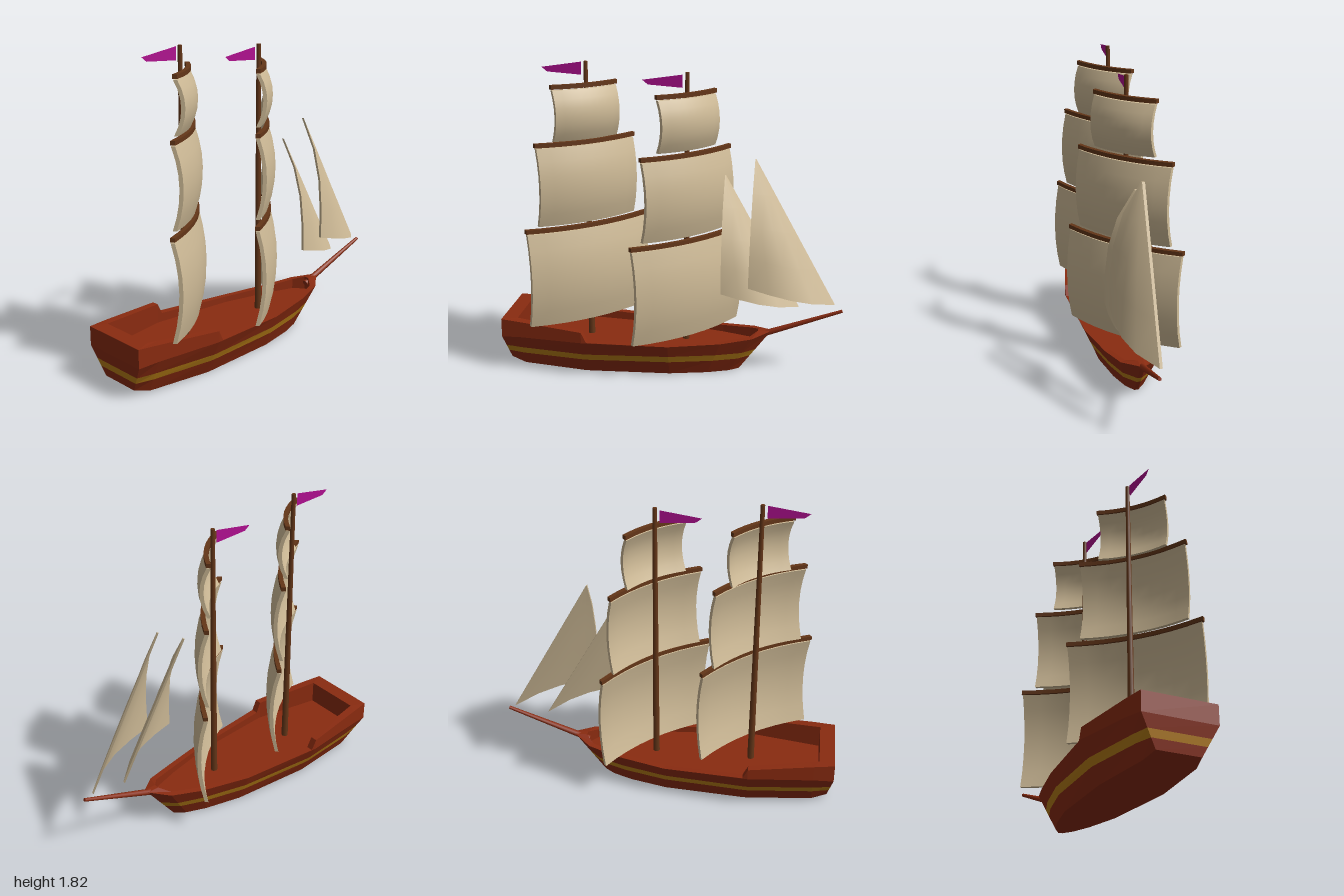
import * as THREE from 'three';

const mat = (name, color, extra = {}) => {
  const m = new THREE.MeshStandardMaterial({ color, ...extra });
  m.name = name;
  return m;
};

// Flat-shaded geometry from a list of four-cornered faces
function quadGeometry(quads) {
  const pos = [];
  for (const [a, b, c, d] of quads) pos.push(...a, ...b, ...c, ...a, ...c, ...d);
  const g = new THREE.BufferGeometry();
  g.setAttribute('position', new THREE.Float32BufferAttribute(pos, 3));
  g.computeVertexNormals();
  return g;
}

// Move every vertex by a rule, then refresh the normals
function warp(g, rule) {
  const p = g.attributes.position, v = new THREE.Vector3();
  for (let i = 0; i < p.count; i++) {
    rule(v.fromBufferAttribute(p, i));
    p.setXYZ(i, v.x, v.y, v.z);
  }
  g.computeVertexNormals();
  return g;
}

export function createModel() {
  const hullRed = mat('hull red', 0x8a2b10);
  const gold = mat('stripe gold', 0xb87e16);
  const wood = mat('mast brown', 0x643618);
  const canvas = mat('sail canvas', 0xd0bc98);
  const purple = mat('pennant purple', 0xb01090, { side: THREE.DoubleSide });

  const model = new THREE.Group();
  model.name = 'sailingShip';
  const CZ = -0.012; // centre line of the ship
  const add = (name, geometry, material, parent = model) => {
    const m = new THREE.Mesh(geometry, material);
    m.name = name;
    parent.add(m);
    return m;
  };

  // Hull stations, stern to bow:
  // rim x, rim y, rim half width, knee y, keel x, keel y, keel half width, inner x, inner half width
  const stations = [
    [-1.0, 0.31, 0.213, 0.2, -0.97, 0.035, 0.125, -0.91, 0.175],
    [-0.88, 0.306, 0.232, 0.21, -0.88, 0.01, 0.145, -0.85, 0.185],
    [-0.5, 0.285, 0.287, 0.22, -0.5, 0, 0.18, -0.5, 0.245],
    [-0.47, 0.222, 0.285, 0.22, -0.47, 0, 0.18, -0.47, 0.243],
    [0, 0.205, 0.235, 0.205, 0, 0, 0.15, 0, 0.2],
    [0.3, 0.212, 0.163, 0.212, 0.22, 0, 0.1, 0.29, 0.13],
    [0.48, 0.23, 0.105, 0.23, 0.34, 0, 0.055, 0.46, 0.075],
    [0.585, 0.25, 0.014, 0.25, 0.4, 0, 0.012, 0.51, 0.015],
  ];
  const ring = (f) => {
    const side = stations.map(f);
    return [...side, ...side.map(([x, y, z]) => [x, y, -z]).reverse()];
  };
  // Outer skin: sloped from keel to knee, upright above it
  const skin = (level) => ring(([rx, ry, rw, ky, kx, kb, kw]) => {
    const y = level === 'keel' ? kb : level === 'rim' ? ry : level === 'knee' ? ky : level;
    const t = Math.min(1, (y - kb) / (ky - kb));
    return [kx + (rx - kx) * t, y, kw + (rw - kw) * t];
  });
  const inner = (deckY) => ring((s) => [s[7], deckY ?? s[1], s[8]]);
  const band = (lo, hi) => lo.map((a, i) => {
    const j = (i + 1) % lo.length;
    return [a, lo[j], hi[j], hi[i]];
  });
  const cap = (r, up) => stations.slice(1).map((_, i) => {
    const n = r.length - 1;
    const q = [r[i], r[i + 1], r[n - i - 1], r[n - i]];
    return up ? q : q.reverse();
  });

  const hull = new THREE.Group();
  hull.name = 'hull';
  hull.position.z = CZ;
  model.add(hull);
  const keel = skin('keel'), low = skin(0.088), high = skin(0.13), knee = skin('knee'), rim = skin('rim');
  const innerRim = inner(), deck = inner(0.17);
  add('lowerHull', quadGeometry([...cap(keel, false), ...band(keel, low)]), hullRed, hull);
  add('hullStripe', quadGeometry(band(low, high)), gold, hull);
  add('upperHull', quadGeometry([...band(high, knee), ...band(knee, rim)]), hullRed, hull);
  add('bulwark', quadGeometry([...band(rim, innerRim), ...band(innerRim, deck)]), hullRed, hull);
  add('deck', quadGeometry(cap(deck, true)), hullRed, hull);

  // Bowsprit
  const from = new THREE.Vector3(0.5, 0.212, 0), to = new THREE.Vector3(0.996, 0.397, 0);
  const dir = to.clone().sub(from);
  const sprit = add('bowsprit', new THREE.CylinderGeometry(0.01, 0.02, dir.length(), 8), hullRed, hull);
  sprit.position.copy(from).add(to).multiplyScalar(0.5);
  sprit.quaternion.setFromUnitVectors(new THREE.Vector3(0, 1, 0), dir.normalize());

  // Square sail or yard: a thin box bowed across its width and, for sails, its height
  const bowed = (w, h, t, belly) => warp(
    new THREE.BoxGeometry(w, h, t, 8, belly ? 6 : 1, 1),
    (v) => {
      const a = (2 * v.x) / w, b = (2 * v.y) / h;
      v.z += 0.16 * w * (1 - a * a) * 0.5 + belly * (1 - b * b);
    },
  );

  // Masts, each with three yards and sails: [yard y, sail bottom y, length]
  const masts = [
    { name: 'main', x: -0.5, sx: -0.51, sz: 0.005, top: 1.82, yaw: 41, flag: 1.78,
      sails: [[0.88, 0.3, 0.79], [1.372, 0.9, 0.64], [1.692, 1.38, 0.42]] },
    { name: 'fore', x: 0.08, sx: 0.075, sz: -0.008, top: 1.77, yaw: 45, flag: 1.72,
      sails: [[0.805, 0.22, 0.79], [1.312, 0.83, 0.64], [1.65, 1.335, 0.42]] },
  ];
  for (const m of masts) {
    const pole = add(m.name + 'Mast', new THREE.CylinderGeometry(0.012, 0.02, m.top - 0.16, 8), wood);
    pole.position.set(m.x, (m.top + 0.16) / 2, CZ);

    const rig = new THREE.Group();
    rig.name = m.name + 'Rig';
    rig.position.set(m.sx, 0, m.sz);
    rig.rotation.y = THREE.MathUtils.degToRad(m.yaw);
    model.add(rig);
    for (const [y, bottom, len] of m.sails) {
      add('yard', bowed(len, 0.024, 0.026, 0), wood, rig).position.y = y;
      const topY = y - 0.018;
      add('squareSail', bowed(len - 0.015, topY - bottom, 0.022, 0.04), canvas, rig)
        .position.y = (topY + bottom) / 2;
    }

    // Pennant streaming aft
    const flag = new THREE.Shape([[-0.027, 0.036], [-0.257, 0.002], [-0.225, -0.024], [-0.027, -0.038]]
      .map(([x, y]) => new THREE.Vector2(x, y)));
    add(m.name + 'Pennant', new THREE.ShapeGeometry(flag), purple).position.set(m.x, m.flag, CZ);
  }

  // Triangular headsails: apex, clew and tack as [x, y]; the clew swings out to the left
  const headsail = (apex, clew, tack) => warp(
    new THREE.BoxGeometry(1, 1, 1, 4, 4, 1),
    (p) => {
      const u = p.x + 0.5, v = Math.max(0.5 - p.y, 0.01);
      const c = v * (1 - u), k = v * u, a = 1 - v;
      p.set(
        apex[0] * a + clew[0] * c + tack[0] * k,
        apex[1] * a + clew[1] * c + tack[1] * k,
        -0.03 + 0.175 * (1 - (1 - c) ** 3) + 0.016 * p.z,
      );
    },
  );
  add('innerHeadsail', headsail([0.298, 1.19], [0.298, 0.525], [0.742, 0.405]), canvas);
  add('outerHeadsail', headsail([0.469, 1.29], [0.455, 0.568], [0.95, 0.43]), canvas);

  return model;
}
